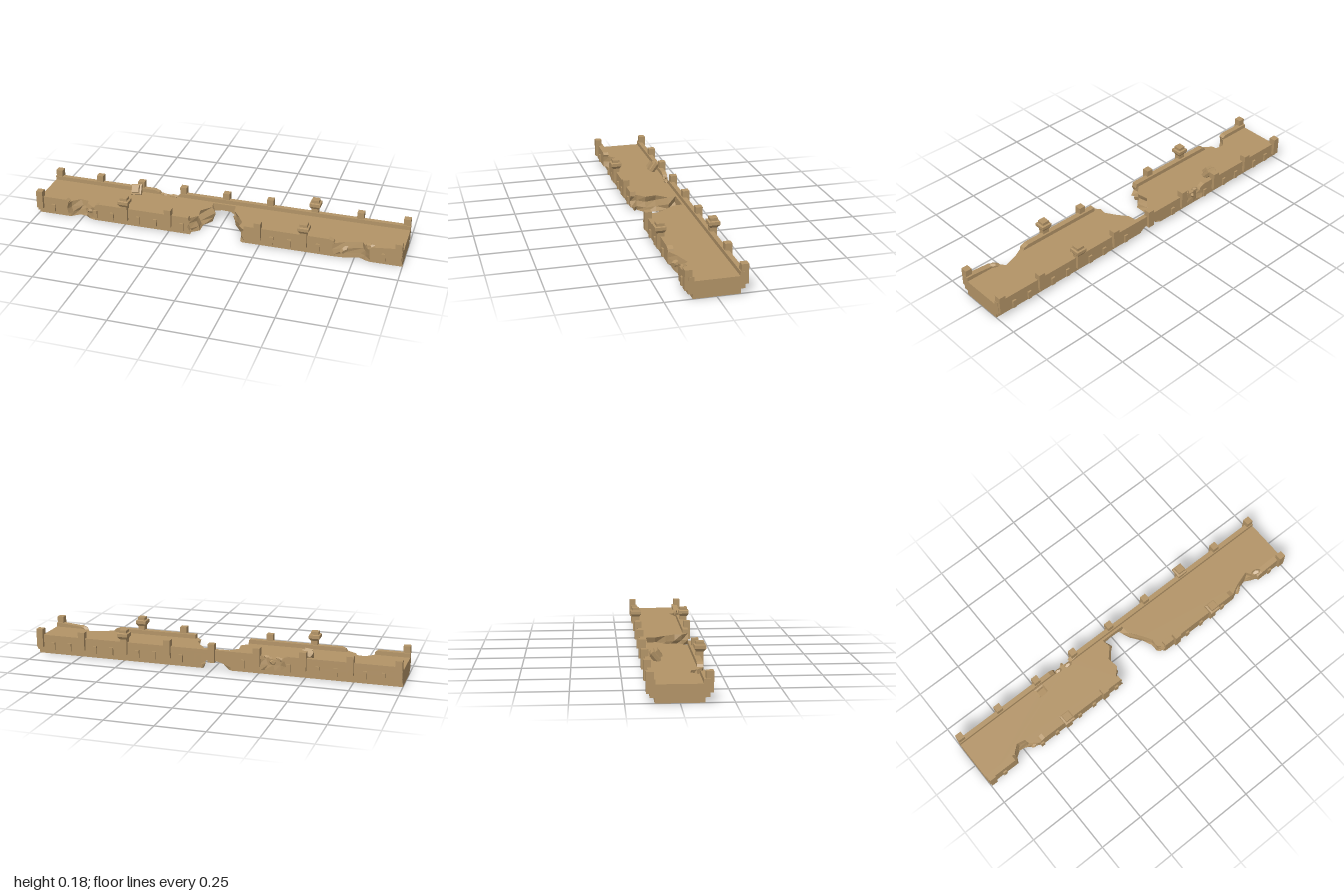
import * as THREE from 'three';

const WALL = 0.137;   // half depth of the side walls
const BASE = 0.115;   // half depth of the base
const DECK = 0.088;   // height of the walkway
const RAIL = 0.11;    // height of the parapet
const STEP = 0.245;   // spacing of the posts

// Half plans, counter-clockwise from above: [x, z, kind], kind 1 = side notch, 2 = central fracture
const leftPlan = [
  [-1, WALL], [-0.82, WALL, 1], [-0.81, 0.1, 1], [-0.77, 0.066, 1], [-0.725, 0.075, 1], [-0.72, 0.1, 1], [-0.67, WALL, 1],
  [-0.126, WALL, 2], [-0.142, 0.1, 2], [-0.1, 0.06, 2], [-0.11, 0, 2], [-0.06, -0.055, 2], [-0.07, -0.1, 2], [-0.1, -WALL],
  [-0.26, -WALL, 1], [-0.29, -0.122, 1], [-0.33, -0.128, 1], [-0.37, -0.118, 1], [-0.39, -WALL, 1], [-1, -WALL],
];
const rightPlan = [
  [0.17, WALL, 2], [0.64, WALL, 1], [0.7, 0.105, 1], [0.785, 0.077, 1], [0.8, 0.1, 1], [0.83, WALL, 1],
  [1, WALL], [1, -WALL], [0.06, -WALL], [0.06, -0.1, 2], [0.065, -0.05, 2], [0.11, 0.01, 2], [0.14, 0.06, 2], [0.135, 0.1, 2],
];

export function createModel() {
  const root = new THREE.Group();
  const stone = new THREE.MeshStandardMaterial({ color: 0xb39467, flatShading: true });

  let seed = 7;
  const rand = () => (seed = (seed * 16807) % 2147483647) / 2147483647;

  const add = (name, geometry, x = 0, y = 0, z = 0, parent = root) => {
    const mesh = new THREE.Mesh(geometry, stone);
    mesh.name = name;
    mesh.position.set(x, y, z);
    parent.add(mesh);
    return mesh;
  };
  const box = (name, x0, x1, y0, y1, z0, z1) =>
    add(name, new THREE.BoxGeometry(x1 - x0, y1 - y0, z1 - z0), (x0 + x1) / 2, (y0 + y1) / 2, (z0 + z1) / 2);

  // Ragged plan at a given height: breaks are rougher and shallower low down
  const ring = (plan, y) => {
    const low = 1 - y / DECK;
    return plan.map(([x, z, kind]) => {
      if (kind) x += (rand() - 0.5) * 0.035 * (low > 0 ? 1 : 0);
      if (kind === 1) z = Math.sign(z) * (Math.abs(z) + (WALL - Math.abs(z)) * 0.2 * low);
      return [x, y, z];
    });
  };

  // Solid between two rings, clamped to a half depth
  const slab = (name, lower, upper, half) => {
    const clamp = (r) => r.map(([x, y, z]) => [x, y, THREE.MathUtils.clamp(z, -half, half)]);
    const a = clamp(lower), b = clamp(upper), pos = [];
    const tri = (...corners) => corners.forEach((c) => pos.push(...c));
    const cap = (r) => THREE.ShapeUtils.triangulateShape(r.map(([x, , z]) => new THREE.Vector2(x, -z)), []);
    cap(b).forEach(([i, j, k]) => tri(b[i], b[j], b[k]));
    cap(a).forEach(([i, j, k]) => tri(a[i], a[k], a[j]));
    a.forEach((p, i) => {
      const n = (i + 1) % a.length;
      tri(p, a[n], b[n]);
      tri(p, b[n], b[i]);
    });
    const geometry = new THREE.BufferGeometry();
    geometry.setAttribute('position', new THREE.Float32BufferAttribute(pos, 3));
    geometry.computeVertexNormals();
    add(name, geometry);
  };

  // Two broken halves: narrow base, then the overhanging body
  for (const [side, plan] of [['right', rightPlan], ['left', leftPlan]]) {
    const rings = [0, 0.025, 0.055, DECK].map((y) => ring(plan, y));
    const label = side === 'right' ? 'leftHalf' : 'rightHalf';
    slab(label + 'Base', rings[0], rings[1], BASE);
    slab(label + 'LowerBody', rings[1], rings[2], WALL);
    slab(label + 'Deck', rings[2], rings[3], WALL);
  }

  // Upright outline in x and y, extruded between two depths
  const upright = (name, points, z0, z1) => {
    const shape = new THREE.Shape(points.map(([x, y]) => new THREE.Vector2(x, y)));
    add(name, new THREE.ExtrudeGeometry(shape, { depth: z1 - z0, bevelEnabled: false }), 0, 0, z0);
  };

  // Thin surviving strip that joins the halves at the back
  upright('bridgingStrip', [
    [-0.13, 0.026], [-0.1, 0.026], [-0.06, 0.042], [-0.02, 0.052], [0.03, 0.05], [0.06, 0.03], [0.1, 0.026],
    [0.1, DECK], [-0.13, DECK],
  ], -WALL, -0.1);

  // Parapets with chipped ends where the walls are broken
  const y0 = DECK - 0.003;
  const frontRails = [
    [[-1, y0], [-0.82, y0], [-0.815, 0.098], [-0.83, RAIL], [-1, RAIL]],
    [[-0.67, y0], [-0.13, y0], [-0.135, RAIL], [-0.64, RAIL], [-0.66, 0.102]],
    [[0.17, y0], [0.65, y0], [0.645, 0.1], [0.62, RAIL], [0.17, RAIL]],
    [[0.82, y0], [1, y0], [1, RAIL], [0.96, RAIL], [0.85, 0.099]],
  ];
  const backRails = [
    [[-1, y0], [-0.375, y0], [-0.385, 0.1], [-0.41, RAIL], [-1, RAIL]],
    [[-0.28, y0], [1, y0], [1, RAIL], [-0.24, RAIL], [-0.265, 0.1]],
  ];
  frontRails.forEach((p) => upright('frontParapet', p, 0.107, WALL));
  backRails.forEach((p) => upright('backParapet', p, -WALL, -0.112));

  // Posts, four-sided caps and small wall brackets
  const capGeometry = new THREE.LatheGeometry(
    [[0, 0], [0.019, 0], [0.029, 0.015], [0.029, 0.032], [0.02, 0.035], [0.02, 0.05], [0, 0.05]]
      .map(([r, y]) => new THREE.Vector2(r * Math.SQRT2, y)), 4, Math.PI / 4);
  const postX = (i) => THREE.MathUtils.clamp(i * STEP, -0.982, 0.982);

  for (const s of [1, -1]) {
    const side = s > 0 ? 'front' : 'back';
    for (let i = -4; i <= 4; i++) {
      if (s > 0 && (i === 0 || Math.abs(i) === 3)) continue;
      const x = postX(i);
      box(side + 'Post', x - 0.018, x + 0.018, 0.045, 0.145, s * 0.135 - 0.018, s * 0.135 + 0.018);
      if (i === 2 || (i === -2 && s > 0)) add(side + 'PostCap', capGeometry, x, 0.13, s * 0.137);
    }
    for (let i = -4; i <= 4; i++) {
      for (const d of [-0.075, 0.075]) {
        const x = i * STEP + d;
        const broken = s > 0
          ? (x > -0.15 && x < 0.18) || (x > 0.62 && x < 0.84) || (x > -0.84 && x < -0.67)
          : (x > -0.4 && x < -0.25) || Math.abs(x) < 0.08;
        if (Math.abs(x) > 1 || broken) continue;
        box(side + 'Bracket', x - 0.01, x + 0.01, 0.03, 0.073, s * 0.138 - 0.008, s * 0.138 + 0.008);
      }
    }
  }

  // Post cap fallen onto the deck
  const fallen = add('fallenPostCap', capGeometry, -0.5, 0.1, -0.1);
  fallen.rotation.set(0.9, 0.1, 0.08);

  // Rubble beside the breaks
  const rubble = [
    [-0.3, 0.087, -0.11, 0.018], [-0.36, 0.087, -0.115, 0.015], [-0.33, 0.07, -0.125, 0.016],
    [0.83, 0.09, 0.112, 0.02], [0.7, 0.05, 0.108, 0.022], [-0.69, 0.06, 0.115, 0.02],
  ];
  rubble.forEach(([x, y, z, r]) => {
    const rock = add('rubble', new THREE.DodecahedronGeometry(r, 0), x, y, z);
    rock.scale.set(1.5, 0.8, 0.8);
    rock.rotation.set(rand(), rand(), rand() * 0.5);
  });

  return root;
}
